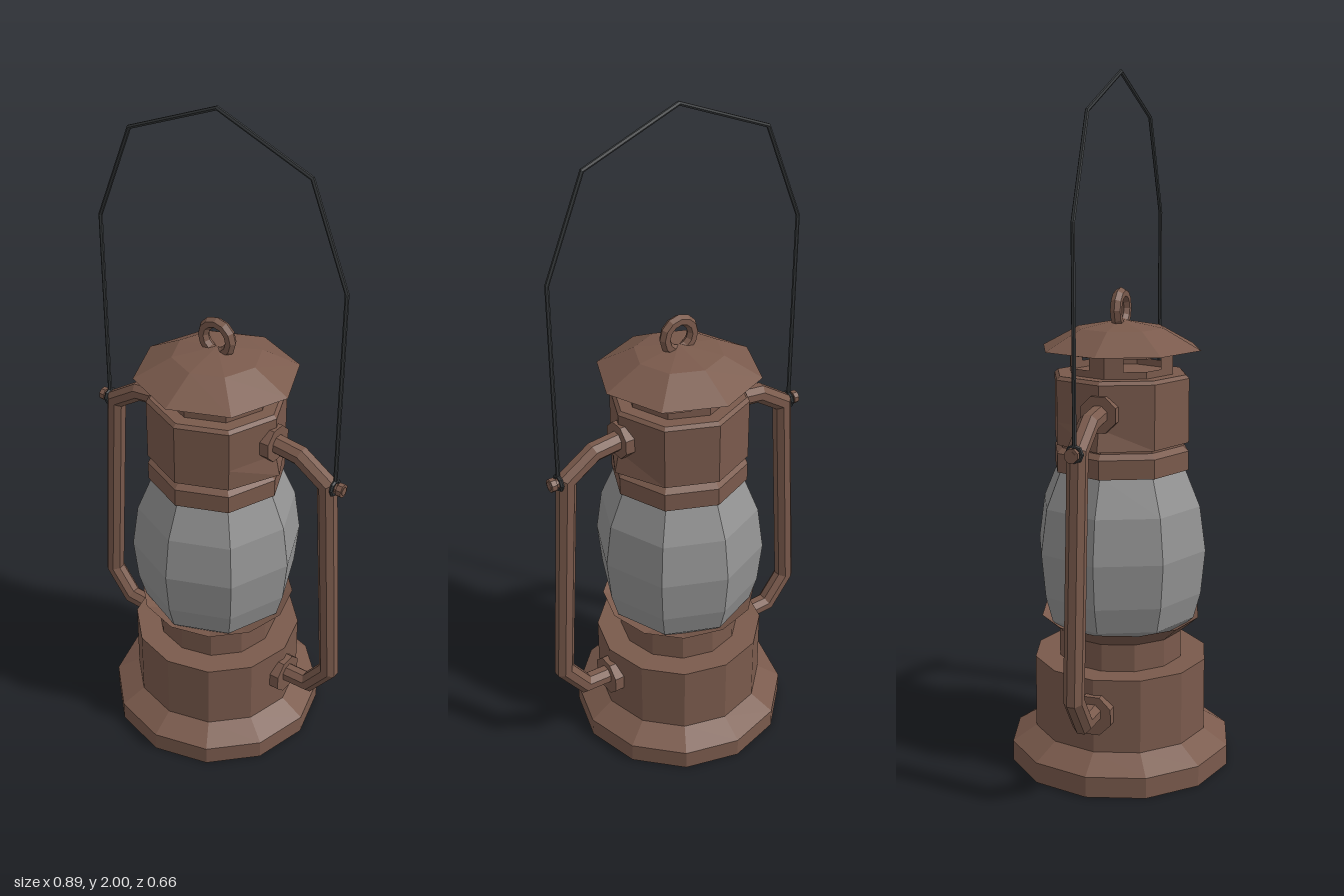
import * as THREE from 'three';

const mat = (color) => new THREE.MeshStandardMaterial({ color, flatShading: true, side: THREE.DoubleSide });

// Sweeps a round section along a path in the XY plane with mitred corners
function sweep(path, radius, sides) {
  const pts = path.map(([x, y]) => new THREE.Vector2(x, y));
  const pos = [], idx = [];
  pts.forEach((p, i) => {
    const a = p.clone().sub(pts[Math.max(i - 1, 0)]).normalize();
    const b = pts[Math.min(i + 1, pts.length - 1)].clone().sub(p).normalize();
    const t = a.clone().add(b).normalize();
    const along = a.lengthSq() > 0 ? a : b;
    const stretch = radius / Math.max(t.dot(along), 0.5);
    for (let j = 0; j < sides; j++) {
      const ang = ((j + 0.5) / sides) * Math.PI * 2;
      const n = Math.cos(ang) * stretch;
      pos.push(p.x - t.y * n, p.y + t.x * n, Math.sin(ang) * radius);
      if (i < pts.length - 1) {
        const k = i * sides + j, k2 = i * sides + ((j + 1) % sides);
        idx.push(k, k2, k2 + sides, k, k2 + sides, k + sides);
      }
    }
  });
  const g = new THREE.BufferGeometry();
  g.setAttribute('position', new THREE.Float32BufferAttribute(pos, 3));
  g.setIndex(idx);
  g.computeVertexNormals();
  return g;
}

export function createModel() {
  const lantern = new THREE.Group();
  lantern.name = 'lantern';
  const metal = mat(0x7a5a4c), glass = mat(0x949494), wire = mat(0x35383a);

  const add = (name, geometry, material = metal) => {
    const mesh = new THREE.Mesh(geometry, material);
    mesh.name = name;
    lantern.add(mesh);
    return mesh;
  };
  const turned = (name, sides, profile, material) =>
    add(name, new THREE.LatheGeometry(profile.map(([r, y]) => new THREE.Vector2(r, y)), sides), material);

  // Fuel tank with a stepped foot
  turned('fuelTank', 12, [[0, 0], [0.328, 0], [0.328, 0.06], [0.257, 0.105], [0.257, 0.32], [0, 0.32]]);
  // Burner collar flaring into the globe seat
  turned('burnerCollar', 12, [[0.184, 0.32], [0.184, 0.4], [0.236, 0.445], [0.17, 0.41], [0, 0.41]]);
  // Glass globe
  turned('globe', 8, [[0.18, 0.405], [0.222, 0.445], [0.243, 0.52], [0.256, 0.65], [0.238, 0.78], [0.192, 0.89]], glass);
  // Ring holding the top of the globe
  turned('globeRing', 8, [[0.16, 0.885], [0.203, 0.885], [0.203, 0.94], [0.187, 0.955], [0.187, 0.985]]);

  // Hood, its lower rim drawn out slightly below the side tubes
  const hood = turned('hood', 8, [[0.18, 0.975], [0.203, 0.965], [0.203, 1.03], [0.203, 1.15], [0.193, 1.16], [0, 1.16]]);
  const hp = hood.geometry.attributes.position;
  for (let i = 0; i < hp.count; i++) {
    if (hp.getY(i) < 0.97 && Math.abs(hp.getX(i)) > 0.19) hp.setX(i, Math.sign(hp.getX(i)) * 0.218);
  }

  // Vented chimney: two bands joined by four folded pillars
  turned('chimneyLowerBand', 8, [[0.155, 1.155], [0.155, 1.18]]);
  turned('chimneyUpperBand', 8, [[0.155, 1.215], [0.155, 1.235]]);
  for (let k = 0; k < 4; k++) {
    const g = new THREE.PlaneGeometry(0.1, 0.04, 2, 1);
    const p = g.attributes.position;
    for (let i = 0; i < p.count; i++) p.setZ(i, 0.155 - Math.abs(p.getX(i)) * 0.414);
    const pillar = add('chimneyPillar', g);
    pillar.position.y = 1.1975;
    pillar.rotation.y = (k * Math.PI) / 2;
  }

  // Roof and its carrying ring
  turned('roof', 8, [[0, 1.232], [0.155, 1.232], [0.237, 1.23], [0.128, 1.289], [0, 1.312]]);
  add('topRing', new THREE.TorusGeometry(0.046, 0.017, 6, 12)).position.y = 1.34;

  // Side tubes, sockets and bail pivots on both sides
  const tubePath = [[0.17, 1.073], [0.285, 1.06], [0.375, 1.0], [0.417, 0.322], [0.348, 0.23], [0.23, 0.225]];
  for (const s of [1, -1]) {
    const side = s > 0 ? 'left' : 'right';
    add(side + 'Tube', sweep(tubePath.map(([x, y]) => [s * x, y]), 0.029, 8));

    const alongX = (name, r, x0, x1, y) => {
      const g = new THREE.CylinderGeometry(r, r, x1 - x0, 8);
      g.rotateY(Math.PI / 8).rotateZ(Math.PI / 2);
      add(side + name, g).position.set(s * (x0 + x1) / 2, y, 0);
    };
    alongX('LowerSocket', 0.06, 0.232, 0.272, 0.22);
    alongX('UpperSocket', 0.055, 0.175, 0.21, 1.07);
    alongX('PivotPin', 0.013, 0.36, 0.43, 1.0);
    alongX('PivotHead', 0.02, 0.412, 0.428, 1.0);

    const eye = add(side + 'BailEye', new THREE.TorusGeometry(0.021, 0.006, 6, 8), wire);
    eye.rotation.y = Math.PI / 2;
    eye.position.set(s * 0.4, 1.0, 0);
  }

  // Wire bail
  const half = [[0.4, 1.02], [0.4, 1.6], [0.285, 1.88]];
  const bail = [...half, [0, 1.994], ...half.map(([x, y]) => [-x, y]).reverse()];
  add('bail', sweep(bail, 0.006, 6), wire);

  return lantern;
}
